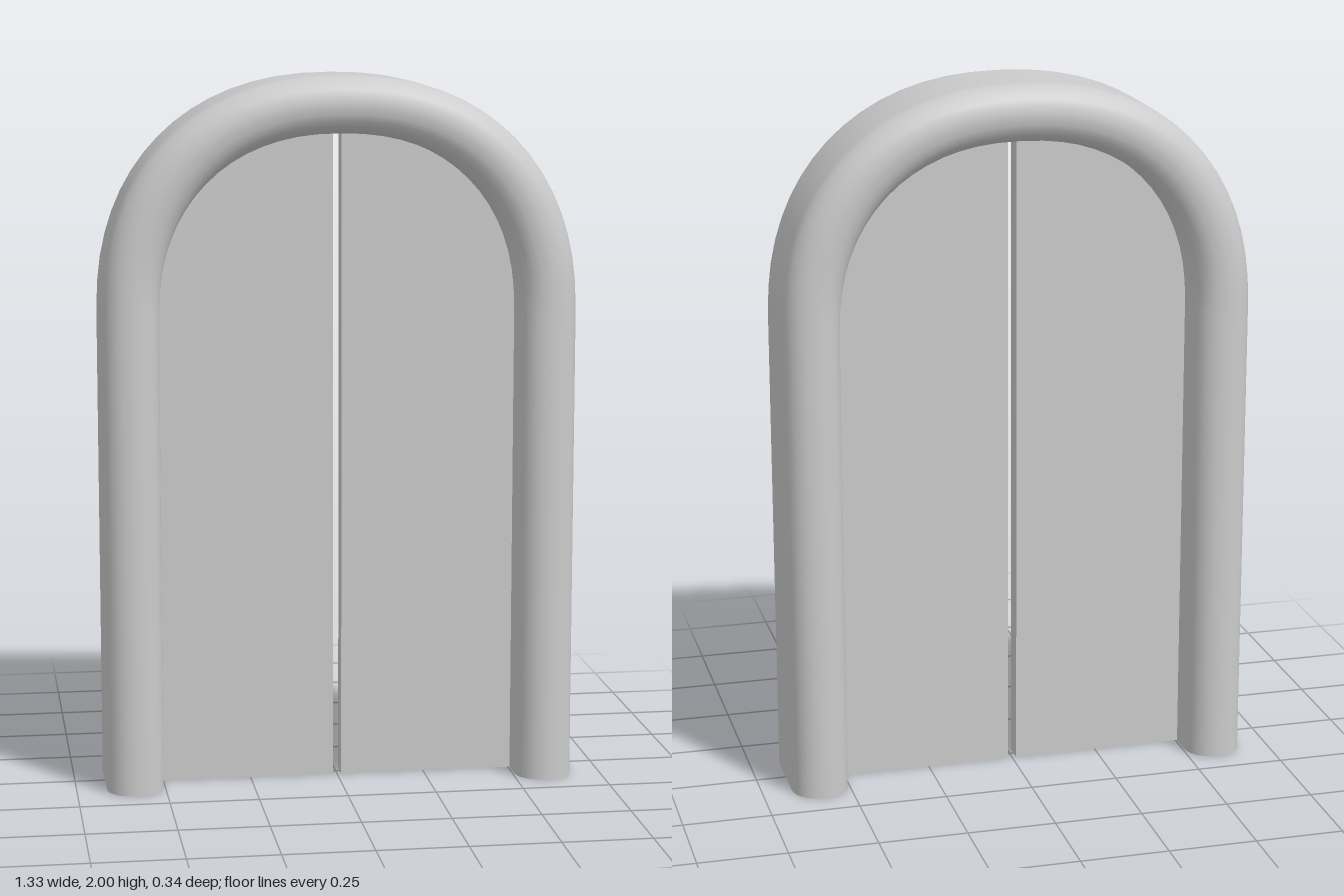
import * as THREE from 'three';

const SPRING = 1.335;            // height where the arch begins
const R_IN = 0.505, R_OUT = 0.665, HALF_DEPTH = 0.172;
const POWER = 2 / 2.25;          // slightly squarer than a circle
const ARC_STEPS = 32;

// Point on an arch of radius r; t runs from 0 (+x side) to PI (-x side)
function archPoint(r, t) {
  const c = Math.cos(t), s = Math.max(0, Math.sin(t));
  return [Math.sign(c) * r * Math.abs(c) ** POWER, SPRING + r * s ** POWER];
}

// Rounded rectangle cross-section as [radius, z] pairs
function frameSection(corner = 0.074, steps = 6) {
  const mid = (R_IN + R_OUT) / 2;
  const w = (R_OUT - R_IN) / 2 - corner, d = HALF_DEPTH - corner;
  const points = [];
  [[1, 1], [-1, 1], [-1, -1], [1, -1]].forEach(([sx, sz], q) => {
    for (let i = 0; i <= steps; i++) {
      const a = (q + i / steps) * Math.PI / 2;
      points.push([mid + sx * w + corner * Math.cos(a), -(sz * d + corner * Math.sin(a))]);
    }
  });
  return points;
}

// Hollow frame swept up one leg, over the arch and down the other
function frameGeometry() {
  const section = frameSection(), n = section.length;
  const positions = [], index = [];
  const rings = [(r) => [r, 0]];
  for (let i = 0; i <= ARC_STEPS; i++) rings.push((r) => archPoint(r, Math.PI * i / ARC_STEPS));
  rings.push((r) => [-r, 0]);

  rings.forEach((place, i) => {
    for (const [r, z] of section) positions.push(...place(r), z);
    if (i === rings.length - 1) return;
    for (let j = 0; j < n; j++) {
      const a = i * n + j, b = i * n + (j + 1) % n;
      index.push(a, b, a + n, b, b + n, a + n);
    }
  });
  const geometry = new THREE.BufferGeometry();
  geometry.setAttribute('position', new THREE.Float32BufferAttribute(positions, 3));
  geometry.setIndex(index);
  geometry.computeVertexNormals();
  return geometry;
}

// One door leaf; side is +1 or -1
function leafGeometry(side) {
  const gap = 0.012, r = 0.53, thickness = 0.06;
  const points = [[gap, 0], [r, 0]];
  for (let i = 0; i <= ARC_STEPS / 2; i++) {
    const [x, y] = archPoint(r, Math.PI * i / ARC_STEPS);
    points.push([Math.max(gap, x), y]);
  }
  const shape = new THREE.Shape(points.map(([x, y]) => new THREE.Vector2(side * x, y)));
  return new THREE.ExtrudeGeometry(shape, { depth: thickness, bevelEnabled: false })
    .translate(0, 0, -thickness / 2);
}

export function createModel() {
  const model = new THREE.Group();
  model.name = 'archedDoorway';
  const grey = new THREE.MeshStandardMaterial({ color: 0xcccccc });
  const shell = new THREE.MeshStandardMaterial({ color: 0xcccccc, side: THREE.DoubleSide });
  const add = (name, geometry, material) => {
    const mesh = new THREE.Mesh(geometry, material);
    mesh.name = name;
    model.add(mesh);
  };

  add('archFrame', frameGeometry(), shell);
  add('leftDoorLeaf', leafGeometry(1), grey);
  add('rightDoorLeaf', leafGeometry(-1), grey);
  return model;
}
